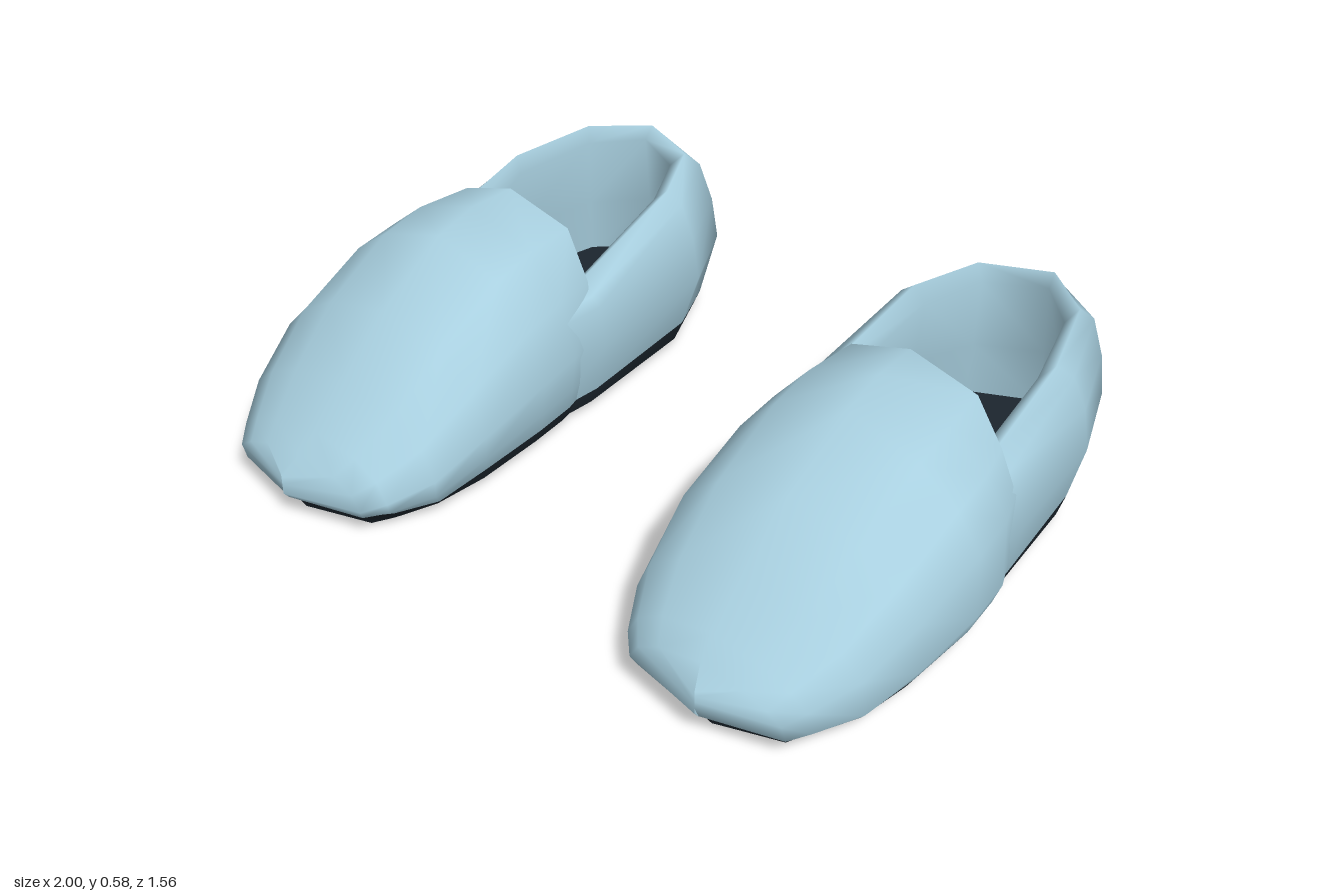
import * as THREE from 'three';

const fabric = new THREE.MeshStandardMaterial({ color: 0xa8cfdf, side: THREE.DoubleSide });
fabric.name = 'pale blue fabric';
const rubber = new THREE.MeshStandardMaterial({ color: 0x1c262e, side: THREE.DoubleSide });
rubber.name = 'dark rubber';

const lerp = THREE.MathUtils.lerp;

// Piecewise linear lookup in [z, value] pairs, z descending
function along(table, z) {
  if (z >= table[0][0]) return table[0][1];
  for (let i = 1; i < table.length; i++) {
    const [z0, a] = table[i - 1], [z1, b] = table[i];
    if (z >= z1) return lerp(a, b, (z0 - z) / (z0 - z1));
  }
  return table[table.length - 1][1];
}
// Heights of the sole's middle, its border, the top of the rubber, and the opening
const soleY = z => along([[0.71, 0.002], [0.3, 0.014], [0, 0.026], [-0.33, 0.026], [-0.47, 0.004], [-0.63, 0.01], [-0.7, 0.025]], z);
const borderY = z => along([[0.71, 0.003], [0.6, 0.022], [0.4, 0.028]], z);
const edgeY = z => along([[0.5, 0.05], [0.42, 0.075], [-0.15, 0.08], [-0.36, 0.092], [-0.55, 0.078], [-0.7, 0.036]], z);
const rimY = z => along([[-0.06, 0.395], [-0.33, 0.46], [-0.6, 0.49], [-0.78, 0.485]], z);

// Smooth surface through rows of points; the listed columns are rubber
function loft(name, rows, side, isDark) {
  const n = rows[0].length, pos = [], parts = [[], []];
  rows.forEach(r => r.forEach(([x, y, z]) => pos.push(x * side, y, z)));
  for (let i = 0; i < rows.length - 1; i++) {
    for (let j = 0; j < n - 1; j++) {
      const a = i * n + j, b = a + n, c = a + 1, d = b + 1;
      const tris = side > 0 ? [a, b, c, c, b, d] : [a, c, b, c, d, b];
      parts[isDark(j) ? 1 : 0].push(...tris);
    }
  }
  const g = new THREE.BufferGeometry();
  g.setAttribute('position', new THREE.Float32BufferAttribute(pos, 3));
  g.setIndex([...parts[0], ...parts[1]]);
  g.addGroup(0, parts[0].length, 0);
  g.addGroup(parts[0].length, parts[1].length, 1);
  g.computeVertexNormals();
  const mesh = new THREE.Mesh(g, [fabric, rubber]);
  mesh.name = name;
  return mesh;
}

// Plan of the heel half: widest line and edge of the opening, as [x, z]
const wide = [[0.25, 0.34], [0.31, 0.1], [0.32, -0.06], [0.288, -0.43], [0.2, -0.67], [0, -0.78],
  [-0.24, -0.7], [-0.34, -0.48], [-0.352, -0.06], [-0.33, 0.1], [-0.26, 0.34]];
const mouth = [[0.17, 0.34], [0.18, 0.1], [0.18, -0.06], [0.178, -0.34], [0.12, -0.57], [0.01, -0.69],
  [-0.14, -0.61], [-0.21, -0.45], [-0.238, -0.06], [-0.23, 0.1], [-0.2, 0.34]];
const end = wide.length - 1;

// Front half stations: z, inner x, outer x, top y
const stations = [
  [0.778, 0, 0, 0.145], [0.73, -0.22, 0.2, 0.185], [0.68, -0.265, 0.235, 0.23], [0.57, -0.325, 0.3, 0.32],
  [0.41, -0.355, 0.342, 0.445], [0.19, -0.357, 0.355, 0.557], [0.06, -0.35, 0.345, 0.583],
];
// Front half section: fraction of half width, fraction of height
const section = [[0.85, 0], [0.93, 0], [1, 0.13], [0.985, 0.5], [0.8, 0.69], [0.5, 0.865], [-0.05, 1],
  [-0.6, 0.865], [-0.88, 0.635], [-1, 0.33], [-0.96, 0.12], [-0.92, 0], [-0.85, 0]];
// Slanted back edge of the front half; its lower ends sink into the heel wall
const backEdge = [-0.03, -0.03, -0.03, -0.04, -0.06, -0.1, -0.08, -0.1, -0.07, -0.04, -0.03, -0.03, -0.03];
const last = section.length - 1;
const tuck = [0.915, 0.94, 0.98];

function vampRow([z, xl, xr, top], zs) {
  const mid = (xl + xr) / 2, half = (xr - xl) / 2;
  return section.map(([fx, fy], j) => {
    const k = Math.min(j, last - j);
    const zz = zs ? zs[j] : z * (k < 3 ? tuck[k] : 1);
    const y = k === 0 ? borderY(zz) : lerp(edgeY(zz), top, fy);
    return [mid + half * fx, y, zz];
  });
}

function makeShoe(side) {
  const shoe = new THREE.Group();
  shoe.name = side > 0 ? 'leftShoe' : 'rightShoe';

  // Heel wall: sole edge, outside, rolled rim, inside
  const heelRows = wide.map(([x, z], i) => {
    const [mx, mz] = mouth[i];
    const at = (t, y) => [lerp(x, mx, t), y, lerp(z, mz, t)];
    const rim = rimY(z);
    return [
      [x * 0.86, borderY(z * 0.9), z * 0.9],
      [x * 0.92, edgeY(z * 0.92), z * 0.92],
      at(0, 0.22), at(0.12, 0.34), at(0.38, rim - 0.035), at(0.7, rim), at(1, rim - 0.035),
      at(0.85, 0.25), at(0.65, 0.07),
    ];
  });
  shoe.add(loft('heelWall', heelRows, side, j => j === 0));

  // Front upper
  const rear = vampRow([-0.08, -0.328, 0.31, 0.575], backEdge);
  const vampRows = [...stations.map(s => vampRow(s)), rear];
  shoe.add(loft('frontUpper', vampRows, side, j => j === 0 || j === last - 1));

  // Lining behind the back edge of the front upper
  const arch = rear.slice(1, last);
  const shrink = (k, dz) => arch.map(([x, y, z]) => [x * k, lerp(0.07, y, k), z + dz]);
  const lining = [arch, shrink(0.9, 0.035), shrink(0.84, 0.2), shrink(0.62, 0.45), shrink(0.3, 0.66)];
  shoe.add(loft('frontLining', lining, side, () => false));

  // Outsole, from toe to heel, with a slightly lower middle
  const borders = vampRows.map(r => [r[last], r[0]]);
  for (let i = 2; i <= 5; i++) borders.push([heelRows[end - i][0], heelRows[i][0]]);
  const soleRows = borders.map(([a, b]) => {
    const z = (a[2] + b[2]) / 2;
    return [a, [(a[0] + b[0]) / 2, soleY(z), z], b];
  });
  shoe.add(loft('outsole', soleRows, side, () => true));

  // Insole
  const floor = [[[0.15, 0.085, 0.6], [-0.15, 0.085, 0.6]]];
  for (let i = 0; i <= 5; i++) {
    floor.push([heelRows[i], heelRows[end - i]].map(r => [r[8][0], 0.085, r[8][2]]));
  }
  shoe.add(loft('insole', floor, side, () => true));

  shoe.position.x = 0.643 * side;
  return shoe;
}

export function createModel() {
  const pair = new THREE.Group();
  pair.name = 'slippers';
  pair.add(makeShoe(1), makeShoe(-1));
  return pair;
}
